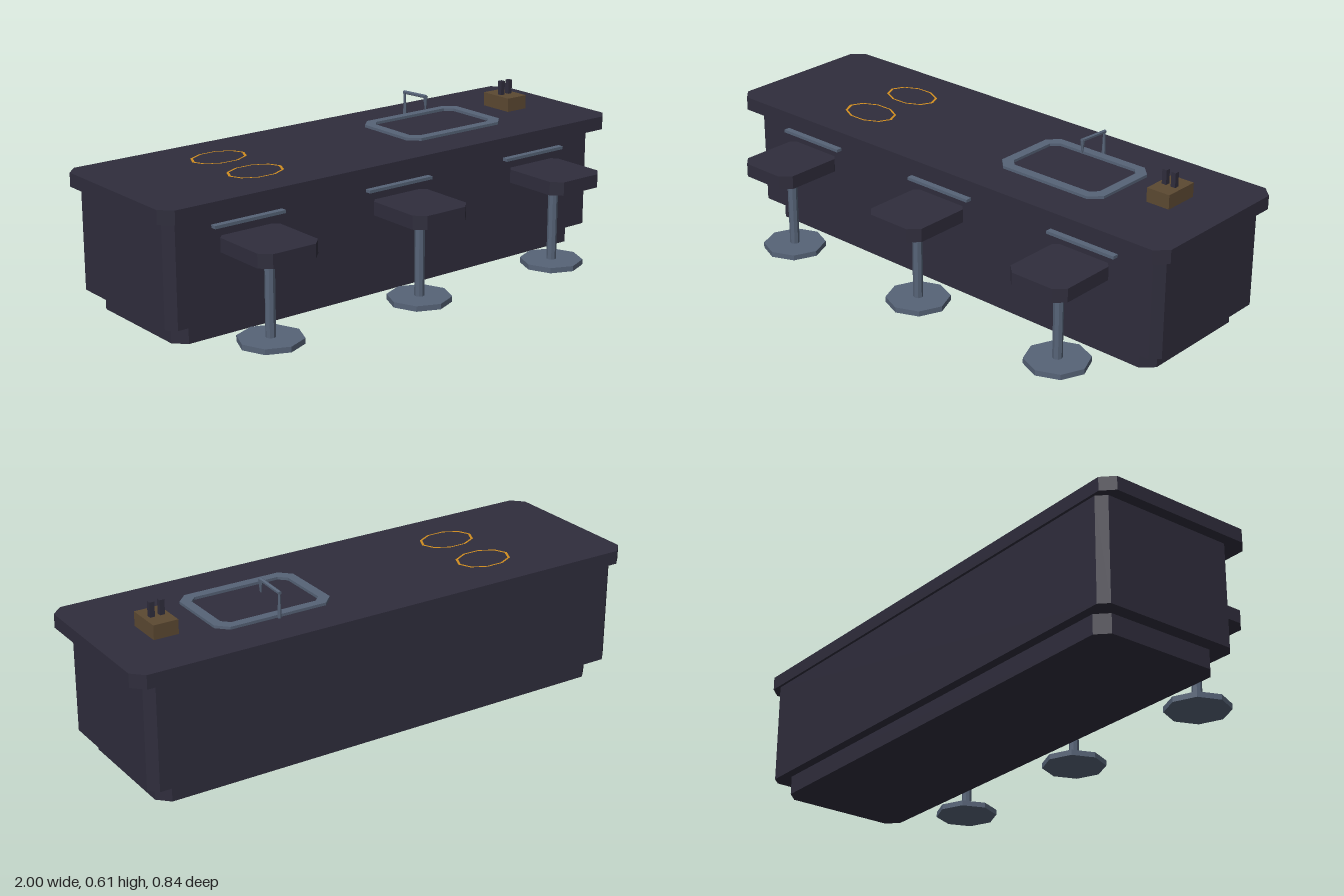
import * as THREE from 'three';

const mat = (name, color, extra = {}) => {
  const m = new THREE.MeshStandardMaterial({ color, flatShading: true, ...extra });
  m.name = name;
  return m;
};

// Rectangle with cut corners, traced onto a Shape or Path in plan (x, -z)
function chamferedOutline(target, x0, x1, z0, z1, c) {
  const pts = [
    [x0 + c, -z1], [x1 - c, -z1], [x1, -z1 + c], [x1, -z0 - c],
    [x1 - c, -z0], [x0 + c, -z0], [x0, -z0 - c], [x0, -z1 + c],
  ];
  return target.setFromPoints(pts.map(([x, y]) => new THREE.Vector2(x, y)));
}

// Upright slab with cut corners, optionally with a hole
function slab(x0, x1, y0, y1, z0, z1, c, hole) {
  const shape = chamferedOutline(new THREE.Shape(), x0, x1, z0, z1, c);
  if (hole) shape.holes.push(chamferedOutline(new THREE.Path(), ...hole));
  const g = new THREE.ExtrudeGeometry(shape, { depth: y1 - y0, bevelEnabled: false });
  return g.rotateX(-Math.PI / 2).translate(0, y0, 0);
}

export function createModel() {
  const model = new THREE.Group();
  model.name = 'kitchenIsland';
  const dark = mat('darkPanel', 0x2f2d3c);
  const steel = mat('steel', 0x566377);
  const wood = mat('wood', 0x5c4932);
  const amber = mat('amberRing', 0xd08c1e, { side: THREE.DoubleSide });

  const add = (name, geometry, material, parent = model) => {
    const mesh = new THREE.Mesh(geometry, material);
    mesh.name = name;
    parent.add(mesh);
    return mesh;
  };

  // Island
  add('plinth', slab(-0.908, 0.905, 0, 0.07, -0.375, 0.125, 0.042), dark);
  add('cabinet', slab(-0.958, 0.955, 0.07, 0.45, -0.41, 0.157, 0.031), dark);
  add('countertop', slab(-1, 1, 0.45, 0.5, -0.42, 0.21, 0.042), dark);

  // Stools, each with a rail on the cabinet front
  for (const x of [-0.645, -0.003, 0.64]) {
    const stool = new THREE.Group();
    stool.name = 'stool';
    stool.position.x = x;
    model.add(stool);
    add('seat', slab(-0.121, 0.121, 0.312, 0.362, 0.14, 0.42, 0.036), dark, stool);
    add('post', new THREE.CylinderGeometry(0.018, 0.018, 0.3, 8).translate(0, 0.167, 0.28), steel, stool);
    add('foot', new THREE.CylinderGeometry(0.116, 0.116, 0.02, 8).translate(0, 0.01, 0.28), steel, stool);
    add('rail', new THREE.BoxGeometry(0.284, 0.011, 0.03).translate(0, 0.401, 0.165), steel, stool);
  }

  // Sink rim
  add('sinkRim', slab(0.155, 0.607, 0.5, 0.51, -0.263, 0.053, 0.04,
    [0.19, 0.572, -0.23, 0.018, 0.026]), steel);

  // Faucet: tapered riser, level spout and a flared outlet
  const faucet = new THREE.Group();
  faucet.name = 'faucet';
  faucet.position.x = 0.382;
  model.add(faucet);
  const rod = (name, a, b, r0, r1) => {
    const from = new THREE.Vector3(...a), to = new THREE.Vector3(...b);
    const dir = to.clone().sub(from);
    const m = add(name, new THREE.CylinderGeometry(r1, r0, dir.length(), 6), steel, faucet);
    m.position.copy(from).add(to).multiplyScalar(0.5);
    m.quaternion.setFromUnitVectors(new THREE.Vector3(0, 1, 0), dir.normalize());
  };
  rod('riser', [0, 0.5, -0.267], [0, 0.595, -0.268], 0.007, 0.004);
  rod('spout', [0, 0.591, -0.272], [0, 0.597, -0.145], 0.007, 0.007);
  rod('outlet', [0, 0.598, -0.148], [0, 0.55, -0.147], 0.009, 0.003);

  // Knife block with two handles
  add('knifeBlock', new THREE.BoxGeometry(0.092, 0.052, 0.136).translate(0.771, 0.526, -0.132), wood);
  for (const x of [0.751, 0.788]) {
    add('knifeHandle', new THREE.BoxGeometry(0.018, 0.065, 0.018).translate(x, 0.573, -0.131), dark);
  }

  // Hob rings
  for (const z of [-0.217, -0.005 + 0.009]) {
    const ring = new THREE.RingGeometry(0.099, 0.109, 10).scale(1, 0.7, 1).rotateX(-Math.PI / 2);
    add('hobRing', ring.translate(-0.502, 0.502, z), amber);
  }
  return model;
}
